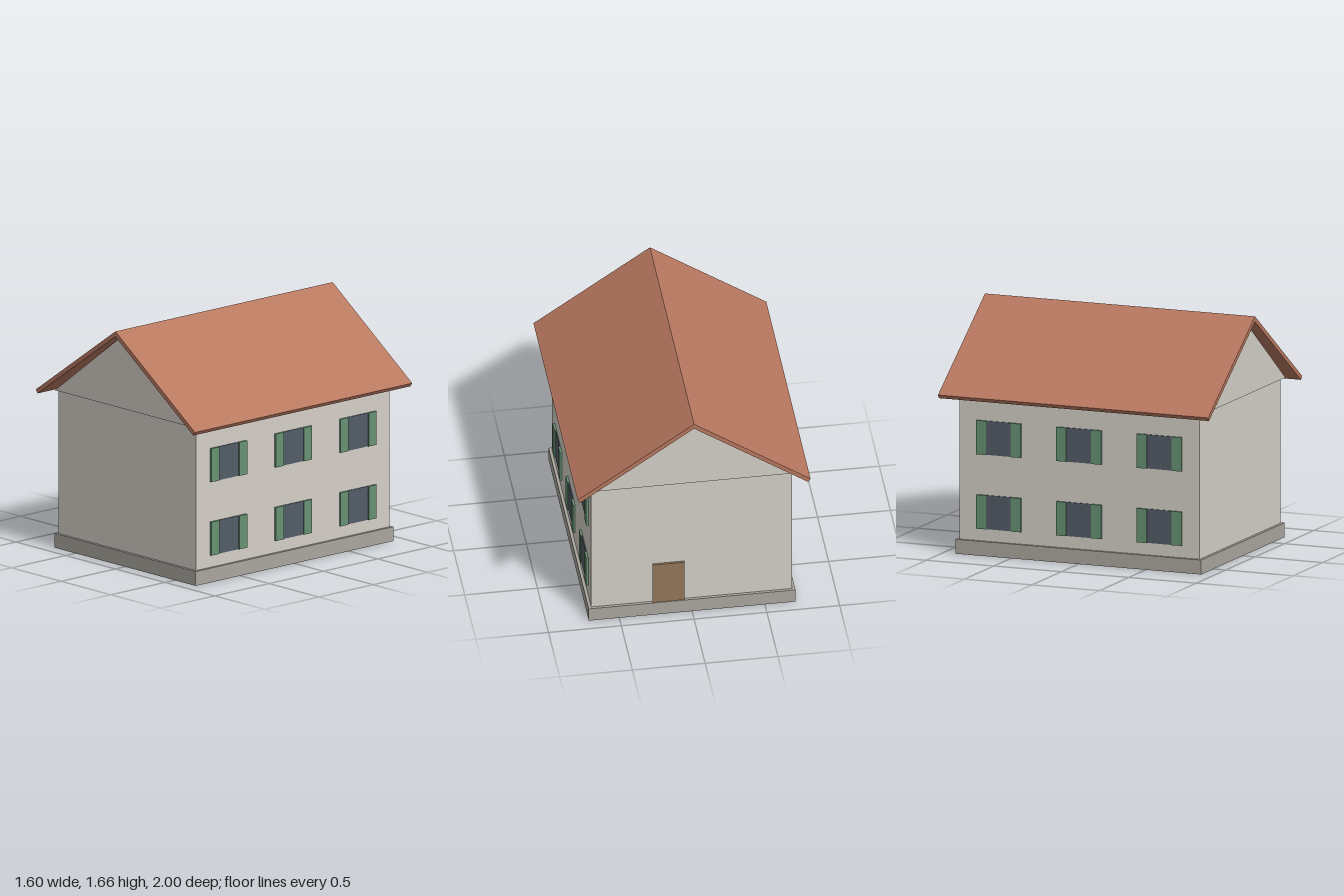
import * as THREE from 'three';

const mat = (name, color) => {
  const m = new THREE.MeshStandardMaterial({ color });
  m.name = name;
  return m;
};

export function createModel() {
  const house = new THREE.Group();
  house.name = 'house';

  const plaster = mat('plaster', 0xd4d0c8);
  const stone = mat('stone', 0xaaa79e);
  const tile = mat('roofTile', 0xb87860);
  const green = mat('shutterGreen', 0x689274);
  const glass = mat('windowGlass', 0x535c68);
  const wood = mat('doorWood', 0x94775a);

  const add = (name, geometry, material, x = 0, y = 0, z = 0, parent = house) => {
    const mesh = new THREE.Mesh(geometry, material);
    mesh.name = name;
    mesh.position.set(x, y, z);
    parent.add(mesh);
    return mesh;
  };

  // Outline in x and y, extruded along z and centred
  const prism = (points, depth) => {
    const shape = new THREE.Shape(points.map(([x, y]) => new THREE.Vector2(x, y)));
    return new THREE.ExtrudeGeometry(shape, { depth, bevelEnabled: false }).translate(0, 0, -depth / 2);
  };

  // Plinth and walls
  add('plinth', new THREE.BoxGeometry(1.42, 0.1, 1.82), stone, 0, 0.05, 0);
  add('walls', new THREE.BoxGeometry(1.38, 1.01, 1.78), plaster, 0, 0.605, 0);

  // Attic gable, slightly proud of the end walls
  add('gable', prism([[-0.69, 1.11], [0.69, 1.11], [0, 1.627]], 1.85), plaster);

  // Two roof slopes meeting at the ridge
  for (const s of [1, -1]) {
    const slope = [[0, 1.665], [0, 1.628], [s * 0.783, 1.083], [s * 0.8, 1.108]];
    add(s > 0 ? 'leftRoofSlope' : 'rightRoofSlope', prism(slope, 2), tile);
  }

  // Shuttered windows: three columns, two floors, both sides
  const paneGeometry = new THREE.BoxGeometry(0.008, 0.235, 0.19);
  const shutterGeometry = new THREE.BoxGeometry(0.016, 0.235, 0.073);
  for (const s of [1, -1]) {
    for (const y of [0.302, 0.817]) {
      for (const z of [-0.595, 0, 0.595]) {
        const unit = new THREE.Group();
        unit.name = 'window';
        unit.position.set(s * 0.69, y, z);
        add('pane', paneGeometry, glass, s * 0.003, 0, 0, unit);
        for (const side of [1, -1]) {
          add('shutter', shutterGeometry, green, s * 0.007, 0, side * 0.129, unit);
        }
        house.add(unit);
      }
    }
  }

  // Back door
  add('door', new THREE.BoxGeometry(0.22, 0.32, 0.03), wood, 0.16, 0.26, -0.89);

  return house;
}
